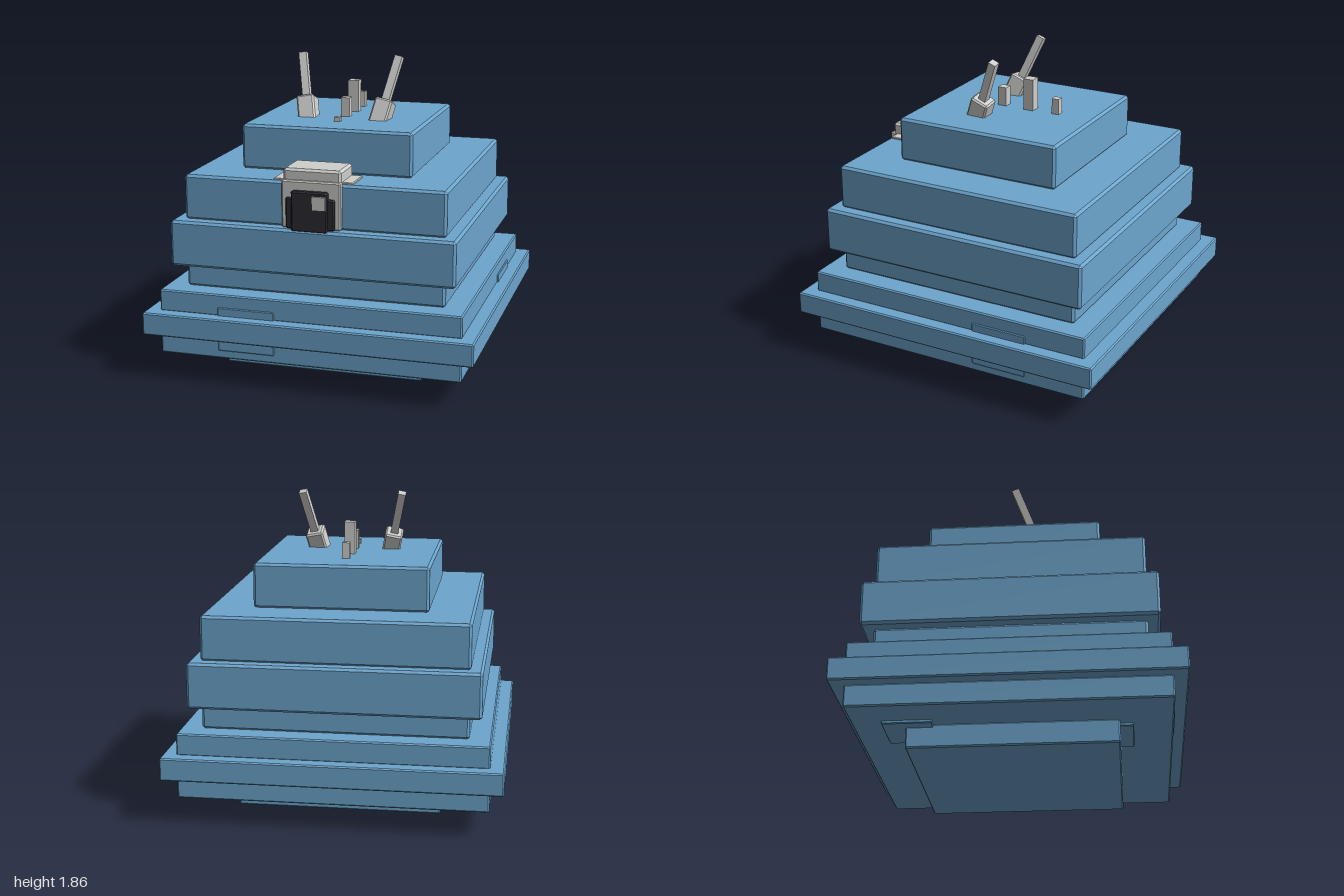
import * as THREE from 'three';
import { ConvexGeometry } from 'three/addons/geometries/ConvexGeometry.js';

const paint = (name, color) => {
  const m = new THREE.MeshStandardMaterial({ color });
  m.name = name;
  return m;
};

// Box with all edges chamfered by c, flat faces
function chamferBox(w, h, d, c) {
  const half = [w / 2, h / 2, d / 2];
  const pts = [];
  for (const sx of [-1, 1]) for (const sy of [-1, 1]) for (const sz of [-1, 1])
    for (let full = 0; full < 3; full++) {
      const p = half.map((v, i) => (i === full ? v : v - c));
      pts.push(new THREE.Vector3(sx * p[0], sy * p[1], sz * p[2]));
    }
  return new ConvexGeometry(pts);
}

export function createModel() {
  const model = new THREE.Group();
  model.name = 'steppedTower';
  const blue = paint('blue', 0x6ca5cd);
  const grey = paint('lightGrey', 0xcfd0cd);
  const black = paint('black', 0x2b2b34);

  // Add a box given its x, y and z ranges; chamfered when c > 0
  function block(name, material, [x0, x1], [y0, y1], [z0, z1], c = 0, parent = model) {
    const size = [x1 - x0, y1 - y0, z1 - z0];
    const geo = c > 0 ? chamferBox(...size, c) : new THREE.BoxGeometry(...size);
    const mesh = new THREE.Mesh(geo, material);
    mesh.name = name;
    mesh.position.set((x0 + x1) / 2, (y0 + y1) / 2, (z0 + z1) / 2);
    parent.add(mesh);
    return mesh;
  }

  // Stacked square tiers: name, half width, bottom, top, chamfer
  const tiers = [
    ['base', 0.612, 0, 0.14, 0.008],
    ['lowerSkirt', 0.917, 0.138, 0.27, 0.008],
    ['widePlate', 1, 0.268, 0.405, 0.008],
    ['upperSkirt', 0.917, 0.4, 0.533, 0.008],
    ['neck', 0.79, 0.53, 0.672, 0.015],
    ['middleTier', 0.862, 0.67, 0.947, 0.015],
    ['upperTier', 0.792, 0.943, 1.215, 0.015],
    ['topTier', 0.525, 1.212, 1.483, 0.015],
  ];
  for (const [name, r, y0, y1, c] of tiers)
    block(name, blue, [-r, r], [y0, y1], [-r, r], c);

  // Raised hatches on the skirt
  block('frontHatch', blue, [-0.55, -0.2], [0.187, 0.455], [0.85, 0.925], 0.005);
  block('sideHatch', blue, [0.85, 0.925], [0.187, 0.455], [-0.54, -0.19], 0.005);

  // Plates on the underside of the skirt
  block('frontUnderPlate', blue, [-0.55, -0.2], [0.12, 0.15], [0.45, 0.69], 0.005);
  block('sideUnderPlate', blue, [0.5, 0.85], [0.12, 0.15], [-0.54, -0.19], 0.005);
  block('backUnderPlate', blue, [-0.69, -0.37], [0.12, 0.15], [-0.74, -0.45], 0.005);

  // Camera unit clipped over the front edge
  const unit = new THREE.Group();
  unit.name = 'cameraUnit';
  model.add(unit);
  block('bracketFlange', grey, [-0.24, 0.24], [1.205, 1.226], [0.575, 0.775], 0.004, unit);
  block('bracketTop', grey, [-0.175, 0.175], [1.21, 1.295], [0.56, 0.8], 0.014, unit);
  block('bracketFront', grey, [-0.178, 0.178], [0.947, 1.23], [0.76, 0.822], 0.008, unit);
  block('lensHousing', black, [-0.148, 0.146], [0.947, 1.132], [0.78, 0.84], 0.008, unit);
  block('lensBody', black, [-0.11, 0.107], [0.935, 1.175], [0.78, 0.858], 0.008, unit);
  block('lensGlint', grey, [0.02, 0.1], [1.072, 1.152], [0.84, 0.872], 0, unit);

  // Pins along the centre line: z, width, top
  for (const [z, w, top] of [[-0.275, 0.046, 1.58], [-0.095, 0.066, 1.68], [0.088, 0.056, 1.6], [0.275, 0.036, 1.51]])
    block('pin', grey, [-w / 2, w / 2], [1.47, top], [z - w / 2, z + w / 2]);

  // Mirrored pair of antennas leaning outwards and back
  for (const side of [-1, 1]) {
    const antenna = new THREE.Group();
    antenna.name = side > 0 ? 'leftAntenna' : 'rightAntenna';
    antenna.position.set(side * 0.228, 1.48, 0.137);
    antenna.rotation.set(-0.38, 0, -side * 0.2);
    block('antennaSocket', grey, [-0.055, 0.055], [-0.05, 0.123], [-0.06, 0.06], 0.01, antenna);
    block('antennaRod', grey, [-0.024, 0.024], [0.1, 0.405], [-0.024, 0.024], 0, antenna);
    model.add(antenna);
  }
  return model;
}
